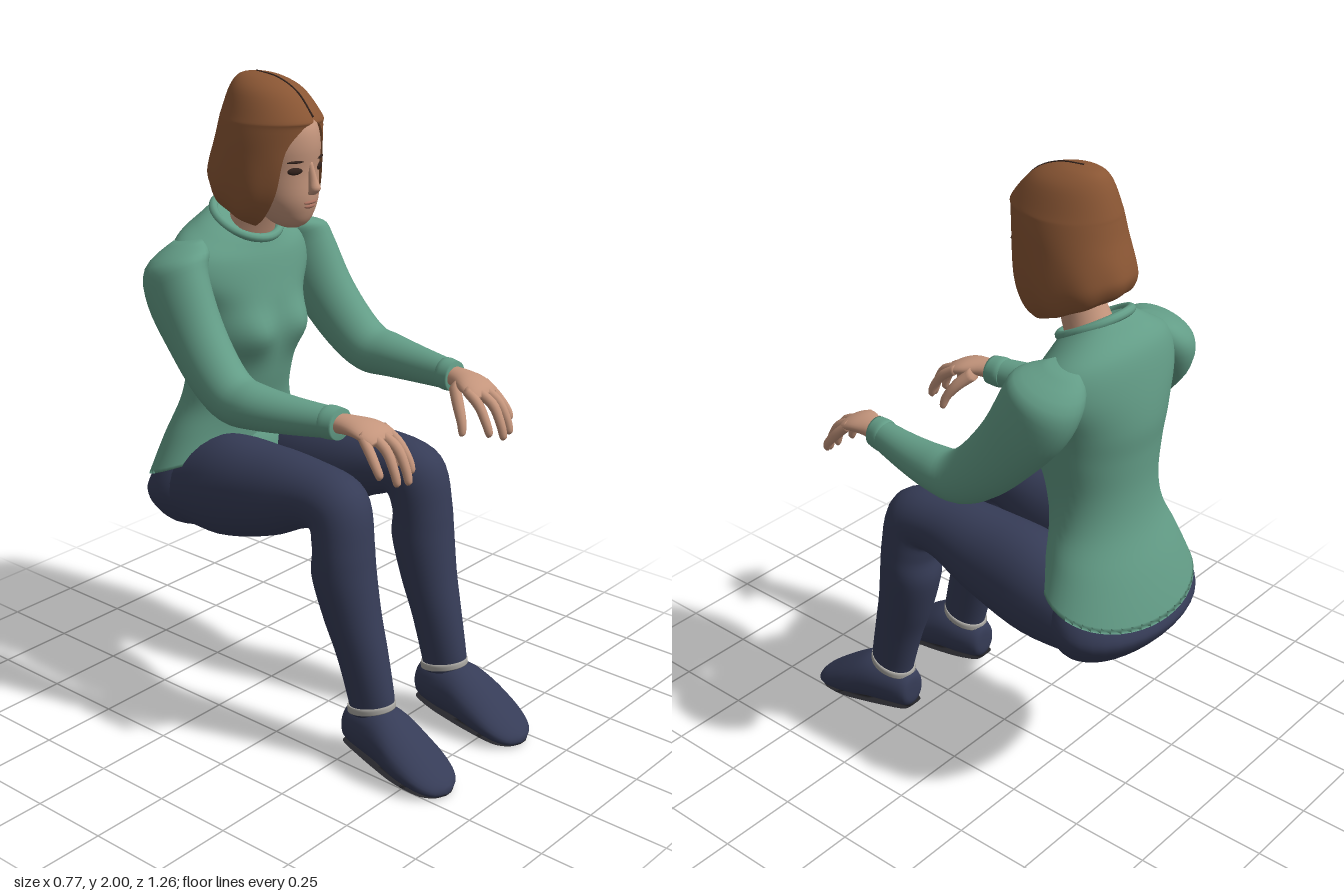
import * as THREE from 'three';
import { mergeVertices } from 'three/addons/utils/BufferGeometryUtils.js';

const paint = (name, color, side = THREE.FrontSide) => {
  const m = new THREE.MeshStandardMaterial({ color, side });
  m.name = name;
  return m;
};

// Catmull-Rom blend of whole section rows
function smoothRows(rows, steps) {
  const out = [], last = rows.length - 1;
  const get = (i, k) => rows[Math.min(Math.max(i, 0), last)][k] || 0;
  for (let i = 0; i < last; i++) {
    for (let s = 0; s < steps; s++) {
      const t = s / steps;
      out.push([0, 1, 2, 3, 4, 5, 6].map((k) => {
        const a = get(i - 1, k), b = get(i, k), c = get(i + 1, k), d = get(i + 2, k);
        return 0.5 * (2 * b + (c - a) * t + (2 * a - 5 * b + 4 * c - d) * t * t + (3 * b - a - 3 * c + d) * t ** 3);
      }));
    }
  }
  out.push([0, 1, 2, 3, 4, 5, 6].map((k) => get(last, k)));
  return out;
}

// Skin over elliptical sections [x, y, z, halfWidth, halfDepth, tiltDegrees, frontOpening]
function loft(name, material, rows, { sides = 28, steps = 4, warp } = {}) {
  const rings = smoothRows(rows, steps), pos = [], idx = [], n = sides + 1;
  const v = new THREE.Vector3();
  for (const [x, y, z, ru, rv, tilt, open] of rings) {
    const a = THREE.MathUtils.degToRad(tilt), gap = Math.max(open, 0);
    for (let j = 0; j < n; j++) {
      const th = Math.PI / 2 + gap + (j / sides) * (2 * Math.PI - 2 * gap);
      const w = rv * Math.sin(th);
      v.set(x + ru * Math.cos(th), y + w * Math.sin(a), z + w * Math.cos(a));
      if (warp) warp(v, th);
      pos.push(v.x, v.y, v.z);
    }
  }
  for (let i = 0; i < rings.length - 1; i++) {
    for (let j = 0; j < sides; j++) {
      const a = i * n + j, c = a + n;
      idx.push(a, a + 1, c, a + 1, c + 1, c);
    }
  }
  // end caps
  for (const [ring, end] of [[0, false], [rings.length - 1, true]]) {
    const c = pos.length / 3, o = ring * n;
    v.set(rings[ring][0], rings[ring][1], rings[ring][2]);
    if (warp) warp(v, 0);
    pos.push(v.x, v.y, v.z);
    for (let j = 0; j < sides; j++) idx.push(c, o + j + (end ? 0 : 1), o + j + (end ? 1 : 0));
  }
  let g = new THREE.BufferGeometry();
  g.setAttribute('position', new THREE.Float32BufferAttribute(pos, 3));
  g.setIndex(idx);
  g = mergeVertices(g, 1e-4);
  g.computeVertexNormals();
  const mesh = new THREE.Mesh(g, material);
  mesh.name = name;
  return mesh;
}

function blob(name, material, [x, y, z], [sx, sy, sz], ry = 0) {
  const mesh = new THREE.Mesh(new THREE.SphereGeometry(1, 24, 14), material);
  mesh.position.set(x, y, z);
  mesh.scale.set(sx, sy, sz);
  mesh.rotation.y = ry;
  mesh.name = name;
  return mesh;
}

export function createModel() {
  const model = new THREE.Group();
  model.name = 'seatedWoman';
  const shirt = paint('green sweater', 0x639d87);
  const denim = paint('navy trousers', 0x363c57);
  const skin = paint('skin', 0xc4957c);
  const hair = paint('auburn hair', 0x8a5634, THREE.DoubleSide);
  const dark = paint('dark brown', 0x33231d);
  const lips = paint('lips', 0xa8705f);
  const sock = paint('light grey sock', 0xaaa8a3);
  const rubber = paint('dark sole', 0x26262b);

  // Sweater body, with a soft bust
  const bust = (p) => {
    if (p.z < -0.33) return;
    const dx = (Math.abs(p.x) - 0.1) / 0.07, dy = (p.y - 1.22) / 0.075;
    p.z += 0.04 * Math.exp(-dx * dx - dy * dy);
  };
  model.add(loft('sweaterBody', shirt, [
    [0, 1.56, -0.335, 0.11, 0.1, -28], [0, 1.53, -0.345, 0.17, 0.115, -22],
    [0, 1.48, -0.36, 0.245, 0.14, -15], [0, 1.4, -0.365, 0.265, 0.155, -8],
    [0, 1.3, -0.365, 0.225, 0.165, 0], [0, 1.2, -0.36, 0.205, 0.162, 0],
    [0, 1.08, -0.37, 0.185, 0.15, 0], [0, 0.98, -0.39, 0.195, 0.147, 3],
    [0, 0.88, -0.42, 0.24, 0.165, 12], [0, 0.77, -0.445, 0.29, 0.196, 23],
  ], { sides: 48, steps: 6, warp: bust }));
  model.add(blob('sweaterLap', shirt, [0, 0.79, -0.31], [0.12, 0.13, 0.07]));

  // Ribbed collar
  const collar = new THREE.Mesh(new THREE.TorusGeometry(0.106, 0.014, 10, 40), shirt);
  collar.name = 'collar';
  collar.position.set(0, 1.555, -0.33);
  collar.rotation.x = Math.PI / 2 + 0.49;
  model.add(collar);

  // Seat of the trousers
  model.add(loft('trouserSeat', denim, [
    [0, 0.84, -0.43, 0.23, 0.14, 20], [0, 0.74, -0.45, 0.283, 0.18, 15],
    [0, 0.66, -0.46, 0.285, 0.165, 5], [0, 0.58, -0.45, 0.22, 0.12, 0], [0, 0.54, -0.44, 0.1, 0.06, 0],
  ], { sides: 36, steps: 5 }));

  // Head and neck
  model.add(loft('neck', skin, [
    [0, 1.68, -0.25, 0.065, 0.07, -15], [0, 1.58, -0.29, 0.066, 0.07, -15], [0, 1.48, -0.34, 0.085, 0.08, -20],
  ]));
  model.add(loft('head', skin, [
    [0, 1.94, -0.23, 0.04, 0.06, 0], [0, 1.9, -0.215, 0.08, 0.11, 0], [0, 1.86, -0.2, 0.1, 0.13, 0],
    [0, 1.8, -0.2, 0.112, 0.14, 0], [0, 1.73, -0.2, 0.109, 0.133, 0], [0, 1.65, -0.18, 0.098, 0.114, 0],
    [0, 1.6, -0.165, 0.076, 0.087, 0], [0, 1.57, -0.155, 0.052, 0.06, 0], [0, 1.555, -0.15, 0.025, 0.03, 0],
  ], { sides: 40 }));
  model.add(loft('nose', skin, [
    [0, 1.76, -0.074, 0.008, 0.01, 0], [0, 1.71, -0.062, 0.012, 0.015, 0],
    [0, 1.682, -0.054, 0.018, 0.019, 0], [0, 1.664, -0.064, 0.014, 0.012, 0],
  ], { sides: 16 }));
  model.add(blob('upperLip', lips, [0, 1.639, -0.071], [0.028, 0.006, 0.009]));
  model.add(blob('lowerLip', lips, [0, 1.627, -0.074], [0.023, 0.007, 0.009]));
  for (const s of [1, -1]) {
    model.add(blob('eye', dark, [s * 0.053, 1.737, -0.083], [0.024, 0.011, 0.006], s * 0.42));
    model.add(blob('eyebrow', dark, [s * 0.054, 1.764, -0.08], [0.027, 0.004, 0.005], s * 0.42));
  }

  // Bobbed hair, open around the face and lightly waved at the ends
  const wave = (p, th) => {
    const k = THREE.MathUtils.clamp((1.78 - p.y) / 0.2, 0, 1) * 0.025 * Math.cos(9 * th);
    p.x *= 1 + k;
    p.z += (p.z + 0.27) * k;
  };
  model.add(loft('hair', hair, [
    [0, 2, -0.28, 0.004, 0.004, 0, 0], [0, 1.99, -0.265, 0.05, 0.07, 0, 0],
    [0, 1.955, -0.24, 0.093, 0.122, 0, 0], [0, 1.885, -0.222, 0.127, 0.165, 0, 0],
    [0, 1.86, -0.225, 0.135, 0.168, 0, 0.28], [0, 1.8, -0.235, 0.144, 0.172, -2, 0.6],
    [0, 1.7, -0.252, 0.151, 0.183, -12, 0.72], [0, 1.64, -0.272, 0.146, 0.176, -20, 0.8],
    [0, 1.605, -0.287, 0.13, 0.15, -24, 0.86], [0, 1.595, -0.287, 0.115, 0.125, -24, 0.88],
  ], { sides: 60, steps: 5, warp: wave }));
  const partLine = new THREE.CatmullRomCurve3([[2, -0.28], [1.99, -0.195], [1.955, -0.118], [1.89, -0.058]]
    .map(([y, z]) => new THREE.Vector3(0, y, z)));
  const part = new THREE.Mesh(new THREE.TubeGeometry(partLine, 20, 0.003, 6), dark);
  part.name = 'hairParting';
  model.add(part);

  // Limbs, once for each side
  for (const s of [1, -1]) {
    const limb = (name, material, rows, options) =>
      model.add(loft(name, material, rows.map(([x, ...rest]) => [s * x, ...rest]), options));

    limb('sleeve', shirt, [
      [0.2, 1.51, -0.385, 0.04, 0.05, 10], [0.255, 1.46, -0.375, 0.09, 0.11, 20],
      [0.283, 1.38, -0.345, 0.084, 0.12, 35], [0.295, 1.26, -0.265, 0.08, 0.102, 42],
      [0.305, 1.16, -0.175, 0.078, 0.09, 48], [0.31, 1.105, -0.09, 0.075, 0.08, 68],
      [0.31, 1.1, 0, 0.07, 0.068, 88], [0.295, 1.1, 0.12, 0.058, 0.056, 90], [0.27, 1.105, 0.26, 0.044, 0.045, 90],
    ]);
    limb('cuff', shirt, [
      [0.274, 1.105, 0.225, 0.046, 0.046, 90], [0.272, 1.105, 0.24, 0.05, 0.05, 90], [0.267, 1.105, 0.276, 0.046, 0.047, 90],
    ]);

    // Hand with drooping fingers
    limb('palm', skin, [
      [0.268, 1.105, 0.25, 0.033, 0.03, 90], [0.26, 1.108, 0.3, 0.042, 0.028, 85],
      [0.248, 1.105, 0.35, 0.059, 0.025, 78], [0.243, 1.092, 0.39, 0.062, 0.021, 65], [0.242, 1.08, 0.41, 0.05, 0.012, 55],
    ]);
    for (let i = 0; i < 4; i++) {
      const base = 0.197 + 0.031 * i, tip = 0.185 + 0.041 * i;
      const y = [0.98, 0.965, 0.97, 0.995][i], z = [0.465, 0.488, 0.48, 0.45][i];
      limb('finger', skin, [
        [base, 1.1, 0.37, 0.015, 0.016, 75], [(base + tip) / 2, 1.068, z - 0.045, 0.016, 0.016, 55],
        [tip, (y + 1.065) / 2, z - 0.012, 0.014, 0.014, 25], [tip, y + 0.012, z, 0.012, 0.012, 10], [tip, y, z, 0.005, 0.005, 10],
      ], { sides: 12 });
    }
    limb('thumb', skin, [
      [0.215, 1.1, 0.31, 0.02, 0.022, 60], [0.183, 1.06, 0.35, 0.019, 0.019, 40],
      [0.163, 1.015, 0.38, 0.015, 0.015, 20], [0.155, 0.982, 0.39, 0.011, 0.011, 15], [0.154, 0.973, 0.39, 0.004, 0.004, 15],
    ], { sides: 12 });

    limb('trouserLeg', denim, [
      [0.15, 0.69, -0.5, 0.12, 0.11, 95], [0.158, 0.735, -0.28, 0.137, 0.163, 95],
      [0.163, 0.772, -0.07, 0.125, 0.14, 95], [0.17, 0.803, 0.08, 0.105, 0.106, 86],
      [0.18, 0.79, 0.19, 0.097, 0.105, 45], [0.189, 0.69, 0.22, 0.095, 0.092, 10],
      [0.19, 0.6, 0.224, 0.095, 0.099, 8], [0.186, 0.47, 0.253, 0.082, 0.092, 10],
      [0.182, 0.35, 0.29, 0.07, 0.083, 12], [0.18, 0.22, 0.323, 0.06, 0.078, 12], [0.18, 0.17, 0.33, 0.058, 0.074, 12],
    ], { steps: 5 });
    limb('sockBand', sock, [
      [0.18, 0.198, 0.325, 0.062, 0.079, 14], [0.18, 0.192, 0.326, 0.065, 0.081, 14], [0.18, 0.178, 0.327, 0.065, 0.081, 14],
    ]);

    // Slip-on shoe with a flat sole
    const shoe = [
      [0.18, 0.11, 0.238, 0.02, 0.025, 90], [0.18, 0.11, 0.25, 0.05, 0.062, 90],
      [0.18, 0.115, 0.32, 0.073, 0.082, 90], [0.185, 0.11, 0.4, 0.087, 0.087, 90],
      [0.19, 0.08, 0.48, 0.095, 0.072, 90], [0.19, 0.047, 0.56, 0.088, 0.046, 90],
      [0.19, 0.027, 0.61, 0.06, 0.027, 90], [0.19, 0.02, 0.63, 0.015, 0.01, 90],
    ];
    const ground = (z) => Math.max(0.006, (0.62 - z) * 0.13);
    limb('shoe', denim, shoe, { warp: (p) => { p.y = Math.max(p.y, ground(p.z)); } });
    limb('sole', rubber, shoe.map(([x, y, z, ru, ...rest]) => [x, y, z, ru * 0.82, ...rest]), {
      warp: (p) => { p.y = THREE.MathUtils.clamp(p.y, ground(p.z) - 0.006, ground(p.z) + 0.002); },
    });
  }
  return model;
}
